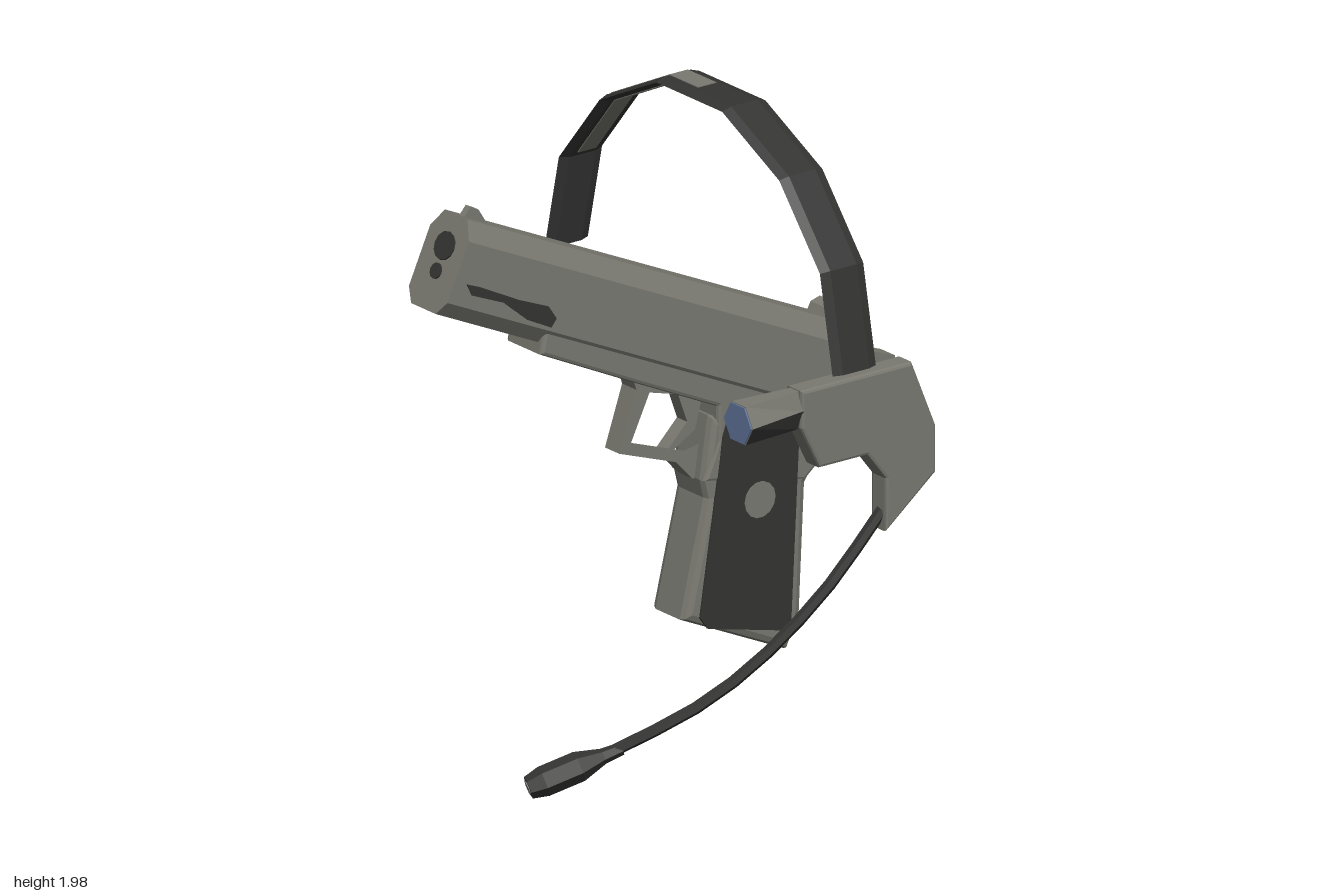
import * as THREE from 'three';

const mat = (name, color) => {
  const m = new THREE.MeshStandardMaterial({ color, flatShading: true });
  m.name = name;
  return m;
};

export function createModel() {
  const root = new THREE.Group();
  root.name = 'sidearmAndHeadset';
  const steel = mat('gunmetal', 0x7a7a72);
  const dark = mat('darkRubber', 0x343433);
  const blue = mat('blueLens', 0x63779f);

  const add = (name, geo, material, parent = root) => {
    const mesh = new THREE.Mesh(geo, material);
    mesh.name = name;
    parent.add(mesh);
    return mesh;
  };
  const vecs = (pts) => pts.map(([a, b]) => new THREE.Vector2(a, b));

  // Side profile in (z, y), extruded across x and centred on cx
  const slab = (pts, half, bevel = 0, cx = 0, hole = null) => {
    const shape = new THREE.Shape(vecs(pts));
    if (hole) shape.holes.push(new THREE.Path(vecs(hole)));
    const geo = new THREE.ExtrudeGeometry(shape, {
      depth: 2 * (half - bevel), bevelEnabled: bevel > 0, bevelSize: bevel,
      bevelThickness: bevel, bevelOffset: -bevel, bevelSegments: 2,
    });
    geo.translate(0, 0, bevel - half);
    geo.rotateY(-Math.PI / 2);
    geo.translate(cx, 0, 0);
    return geo;
  };

  // Skin over a row of rings, with end caps; one geometry group per side
  const loft = (rings, sideMaterial = () => 0) => {
    const pos = [], n = rings[0].length, last = rings[rings.length - 1];
    const geo = new THREE.BufferGeometry();
    const tri = (...v) => v.forEach((p) => pos.push(p[0], p[1], p[2]));
    for (let j = 0; j < n; j++) {
      const k = (j + 1) % n, start = pos.length / 3;
      for (let i = 0; i + 1 < rings.length; i++) {
        const a = rings[i], b = rings[i + 1];
        tri(a[j], a[k], b[k]);
        tri(a[j], b[k], b[j]);
      }
      geo.addGroup(start, pos.length / 3 - start, sideMaterial(j));
    }
    const capStart = pos.length / 3;
    for (let j = 1; j + 1 < n; j++) {
      tri(rings[0][0], rings[0][j + 1], rings[0][j]);
      tri(last[0], last[j], last[j + 1]);
    }
    geo.addGroup(capStart, pos.length / 3 - capStart, 0);
    geo.setAttribute('position', new THREE.Float32BufferAttribute(pos, 3));
    geo.computeVertexNormals();
    return geo;
  };

  // ---- Pistol ----
  const pistol = new THREE.Group();
  pistol.name = 'pistol';
  root.add(pistol);

  // Slide: chamfered section along the tilted barrel axis
  const slide = new THREE.Group();
  slide.name = 'slide';
  slide.position.set(0, 1.555, 0.88);
  slide.rotation.x = -0.428;
  pistol.add(slide);
  const half = [[0.06, 0], [0.095, 0.045], [0.095, 0.24], [0.055, 0.3]];
  const section = [...half, ...half.map(([x, y]) => [-x, y]).reverse()];
  const slideGeo = new THREE.ExtrudeGeometry(new THREE.Shape(vecs(section)), { depth: 1.67, bevelEnabled: false });
  slideGeo.translate(0, 0, -1.67);
  add('slideBody', slideGeo, steel, slide);
  for (const [name, y, r] of [['muzzleHole', 0.2, 0.045], ['springPlug', 0.12, 0.025]]) {
    const disc = add(name, new THREE.CylinderGeometry(r, r, 0.008, 12), dark, slide);
    disc.rotation.x = Math.PI / 2;
    disc.position.set(0, y, 0.001);
  }

  // Dark worn streak on one side of the slide
  add('slideStreak', slab([[0.79, 1.64], [0.74, 1.62], [0.59, 1.545], [0.48, 1.5], [0.45, 1.455],
    [0.47, 1.43], [0.56, 1.475], [0.65, 1.55], [0.77, 1.6]], 0.003, 0, 0.095), dark, pistol);

  // Frame, grip and rear parts
  add('frame', slab([[0.5, 1.345], [0.48, 1.44], [-0.76, 1.12], [-0.75, 0.93], [-0.72, 0.9], [-0.71, 0.84],
    [-0.56, 0.77], [-0.5, 0.72], [-0.12, 0.8], [-0.17, 0.92], [-0.17, 1.03], [0.11, 1.16]], 0.087, 0.012), steel, pistol);
  add('grip', slab([[-0.15, 1.0], [-0.12, 0.8], [-0.135, 0.74], [-0.045, 0.37], [-0.44, 0.19], [-0.49, 0.3],
    [-0.51, 0.71], [-0.56, 0.78], [-0.5, 0.9]], 0.084, 0.025), steel, pistol);
  add('beavertail', slab([[-0.66, 0.95], [-0.73, 0.92], [-0.83, 0.835], [-0.845, 0.8], [-0.7, 0.845], [-0.64, 0.84]], 0.045), steel, pistol);
  add('hammer', slab([[-0.7, 1.09], [-0.76, 1.065], [-0.88, 1.02], [-0.88, 1.0], [-0.76, 0.96], [-0.7, 0.96]], 0.035), steel, pistol);
  add('frontSight', slab([[0.75, 1.8], [0.71, 1.845], [0.68, 1.83], [0.63, 1.75]], 0.012), steel, pistol);
  add('rearSight', slab([[-0.61, 1.17], [-0.635, 1.22], [-0.67, 1.23], [-0.67, 1.15]], 0.063), steel, pistol);

  // Trigger and its guard
  add('triggerGuard', slab([[0.12, 1.19], [0.1, 1.13], [0.165, 0.94], [-0.05, 0.865], [-0.11, 0.8], [-0.19, 0.78], [-0.2, 1.08]],
    0.035, 0, 0, [[0.05, 1.11], [0.12, 0.965], [-0.08, 0.895], [-0.17, 0.91], [-0.17, 1.05]]), steel, pistol);
  add('trigger', slab([[-0.06, 1.09], [-0.1, 0.98], [-0.02, 0.9], [-0.04, 0.895], [-0.13, 0.95], [-0.16, 1.06]], 0.025), steel, pistol);

  // Grip panels with round inlays, both sides
  for (const s of [1, -1]) {
    add('gripPanel', slab([[-0.22, 1.03], [-0.28, 1.03], [-0.4, 0.97], [-0.475, 0.87], [-0.445, 0.29], [-0.42, 0.26],
      [-0.13, 0.33], [-0.1, 0.37], [-0.175, 0.85], [-0.185, 0.93]], 0.004, 0, s * 0.086), dark, pistol);
    const inlay = add('gripInlay', new THREE.CylinderGeometry(0.058, 0.058, 0.006, 14), steel, pistol);
    inlay.rotation.z = Math.PI / 2;
    inlay.position.set(s * 0.09, 0.7, -0.325);
  }

  // ---- Headset ----
  const headset = new THREE.Group();
  headset.name = 'headset';
  root.add(headset);

  // Flat bar swept over the head along an (x, y) path
  const sweep = (path, profile) => loft(path.map(([x, y], i) => {
    const a = path[Math.max(i - 1, 0)], b = path[Math.min(i + 1, path.length - 1)];
    const tx = b[0] - a[0], ty = b[1] - a[1], l = Math.hypot(tx, ty);
    return profile.map(([n, z]) => [x - (ty / l) * n, y + (tx / l) * n, z - 0.236]);
  }));
  add('headband', sweep([[-0.745, 1.3], [-0.675, 1.61], [-0.476, 1.85], [-0.196, 1.988], [0.127, 1.988],
    [0.407, 1.85], [0.607, 1.61], [0.675, 1.27]],
  [[0.011, -0.05], [0.011, 0.05], [0, 0.082], [-0.011, 0.05], [-0.011, -0.05], [0, -0.082]]), dark, headset);
  add('headbandSheen', sweep([[-0.66, 1.628], [-0.476, 1.85], [-0.196, 1.988], [-0.06, 1.988]],
    [[0.0135, -0.04], [0.0135, 0.03], [-0.0135, 0.03], [-0.0135, -0.04]]), steel, headset);

  // Earpiece body and flared front barrel with lens
  add('earpiece', slab([[0, 1.3], [-0.42, 1.3], [-0.51, 1.08], [-0.51, 0.93], [-0.32, 0.78], [-0.32, 0.95],
    [-0.25, 1.04], [-0.07, 1.04], [0, 1.18]], 0.038, 0.01, 0.68), steel, headset);
  const hexRing = (rx, z, ry = 0.07) => [0, 1, 2, 3, 4, 5].map((i) => {
    const t = i * Math.PI / 3;
    return [0.68 + rx * Math.cos(t), 1.236 + ry * Math.sin(t), z];
  });
  add('earpieceBarrel', loft([hexRing(0.038, -0.03), hexRing(0.038, 0), hexRing(0.07, 0.21)],
    (j) => (j === 5 ? 1 : 0)), [steel, dark], headset);
  add('lens', loft([hexRing(0.067, 0.208, 0.067), hexRing(0.067, 0.215, 0.067)]), blue, headset);

  // Microphone boom
  const boom = new THREE.CatmullRomCurve3([[0.685, 0.84, -0.33], [0.64, 0.615, -0.155], [0.56, 0.4, 0.05],
    [0.475, 0.265, 0.22], [0.355, 0.145, 0.43]].map((p) => new THREE.Vector3(...p)));
  add('microphoneBoom', new THREE.TubeGeometry(boom, 8, 0.019, 6), dark, headset);

  // Microphone capsule at the end of the boom
  const mic = new THREE.Group();
  mic.name = 'microphone';
  const from = new THREE.Vector3(0.365, 0.15, 0.41), to = new THREE.Vector3(0.25, 0.05, 0.675);
  const dir = to.clone().sub(from), len = dir.length();
  mic.position.copy(from);
  mic.quaternion.setFromUnitVectors(new THREE.Vector3(0, 1, 0), dir.normalize());
  headset.add(mic);
  add('micCapsule', new THREE.LatheGeometry(vecs([[0, 0], [0.02, 0], [0.024, 0.06], [0.047, 0.14],
    [0.047, len - 0.05], [0.035, len], [0, len]]), 6), dark, mic);
  const tip = add('micTip', new THREE.CylinderGeometry(0.022, 0.022, 0.006, 8), steel, mic);
  tip.position.y = len;

  return root;
}
